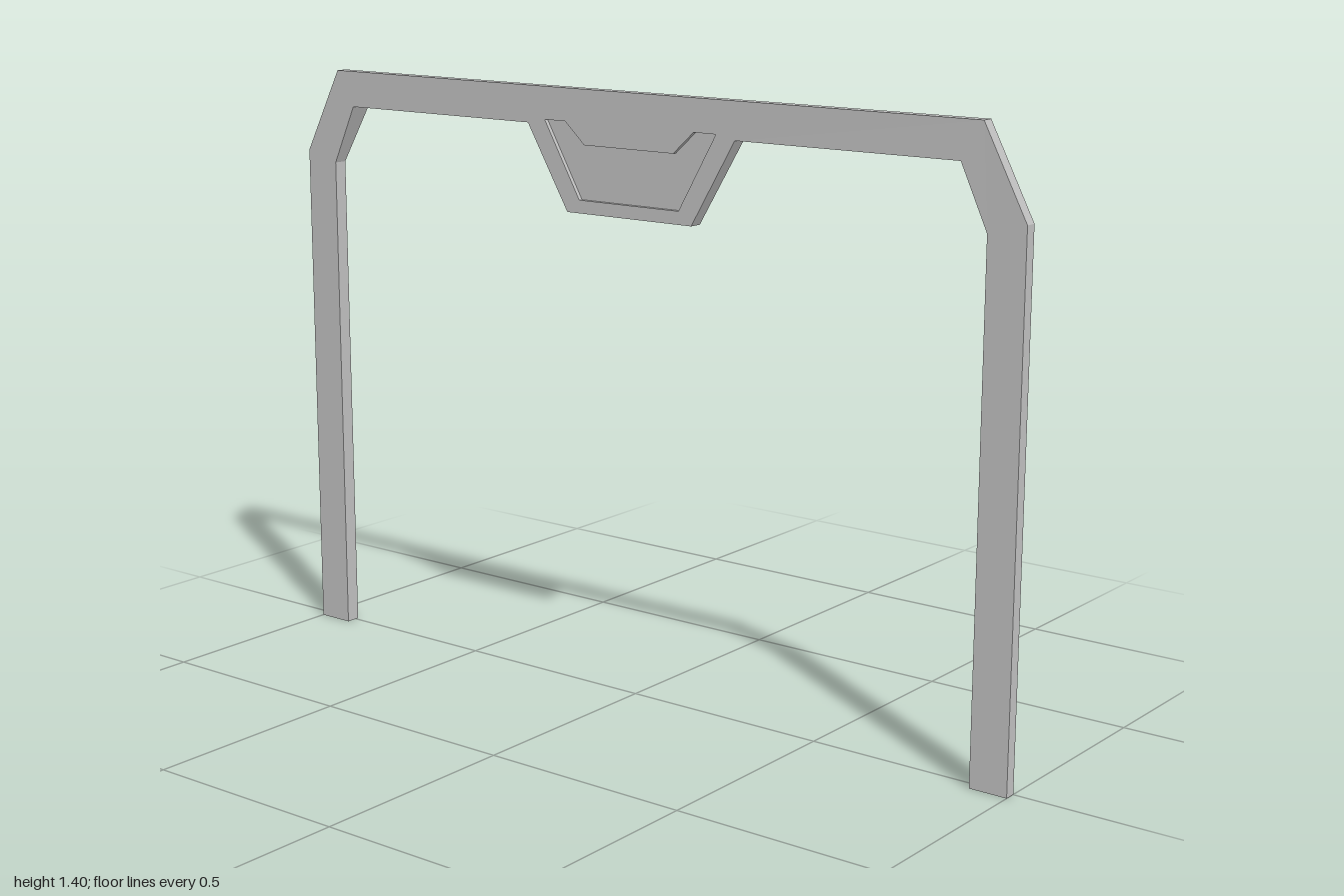
import * as THREE from 'three';

const FRONT = 0.027, RECESS = 0.017;

// Mirror a half outline given on the +x side, continuing it across to -x
const mirrored = half => [...half, ...[...half].reverse().map(([x, y, z]) => [-x, y, z])];

// Sheet wall running along a path of [x, y, backZ] points, from zFront to backZ
function wall(path, zFront) {
  const pos = [];
  for (let i = 0; i < path.length - 1; i++) {
    const [ax, ay, az] = path[i], [bx, by, bz] = path[i + 1];
    pos.push(ax, ay, az, bx, by, bz, bx, by, zFront);
    pos.push(ax, ay, az, bx, by, zFront, ax, ay, zFront);
  }
  const g = new THREE.BufferGeometry();
  g.setAttribute('position', new THREE.Float32BufferAttribute(pos, 3));
  g.computeVertexNormals();
  return g;
}

const toVectors = path => path.map(([x, y]) => new THREE.Vector2(x, y));

export function createModel() {
  const group = new THREE.Group();
  const grey = new THREE.MeshStandardMaterial({ color: 0xc0c0c0, side: THREE.DoubleSide });
  grey.name = 'grey';
  const add = (name, geometry, z = 0) => {
    const mesh = new THREE.Mesh(geometry, grey);
    mesh.name = name;
    mesh.position.z = z;
    group.add(mesh);
  };

  // Outlines: outer edge, inner edge (deeper at the corners), sunken panel
  const outer = mirrored([[1, 0, -0.001], [1, 1.2, -0.001], [0.895, 1.4, -0.001]]);
  const inner = mirrored([
    [0.91, 0, -0.008], [0.91, 1.175, -0.006], [0.845, 1.315, -0.027],
    [0.29, 1.315, -0.008], [0.175, 1.12, -0.005],
  ]).reverse();
  const panel = mirrored([
    [0.14, 1.15, RECESS], [0.24, 1.325, RECESS], [0.18, 1.325, RECESS], [0.125, 1.275, RECESS],
  ]);

  // Front face with the panel cut out
  const face = new THREE.Shape(toVectors([...outer, ...inner]));
  face.holes.push(new THREE.Path(toVectors(panel)));
  add('frontFace', new THREE.ShapeGeometry(face), FRONT);

  // Rims folded back, leaving the frame an open channel behind
  add('outerRim', wall(outer, FRONT));
  add('innerRim', wall(inner, FRONT));

  // Sunken centre panel and its sides
  add('centrePanel', new THREE.ShapeGeometry(new THREE.Shape(toVectors(panel))), RECESS);
  add('panelSides', wall([...panel, panel[0]].reverse(), FRONT));

  return group;
}
